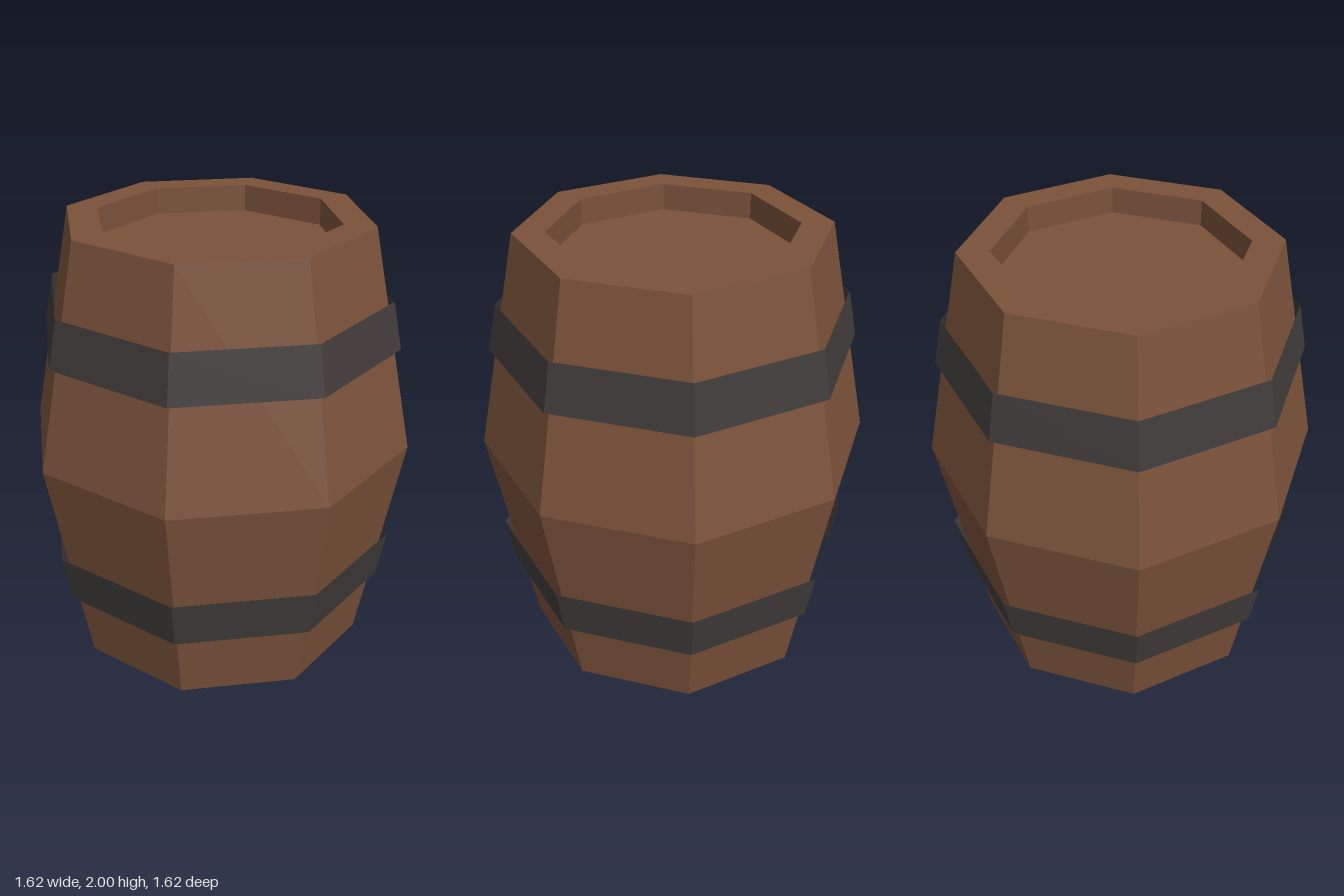
import * as THREE from 'three';

const SIDES = 8;

function flatMaterial(name, color) {
  return new THREE.MeshStandardMaterial({ name, color, flatShading: true, side: THREE.DoubleSide });
}

// Octagonal shell; the profile lists [distance from axis to flat side, height].
function octagonShell(name, profile, material) {
  const toCorner = 1 / Math.cos(Math.PI / SIDES);
  const points = profile.map(([d, y]) => new THREE.Vector2(d * toCorner, y));
  const geometry = new THREE.LatheGeometry(points, SIDES, Math.PI / SIDES);
  const mesh = new THREE.Mesh(geometry, material);
  mesh.name = name;
  return mesh;
}

export function createModel() {
  const wood = flatMaterial('brown wood', 0x7b523a);
  const iron = flatMaterial('dark iron', 0x413b3b);
  const barrel = new THREE.Group();
  barrel.name = 'barrel';

  // Bulging staves, open underneath
  barrel.add(octagonShell('staves', [[0.63, 0], [0.81, 1], [0.63, 2]], wood));

  // Flat rim and the sunken lid
  barrel.add(octagonShell('rim', [[0.63, 2], [0.5, 2]], wood));
  barrel.add(octagonShell('lidWall', [[0.5, 2], [0.5, 1.88]], wood));
  barrel.add(octagonShell('lid', [[0.5, 1.88], [0, 1.88]], wood));

  // Thin open hoops standing slightly off the staves
  barrel.add(octagonShell('lowerHoop', [[0.715, 0.32], [0.753, 0.54]], iron));
  barrel.add(octagonShell('upperHoop', [[0.753, 1.465], [0.715, 1.68]], iron));

  return barrel;
}
